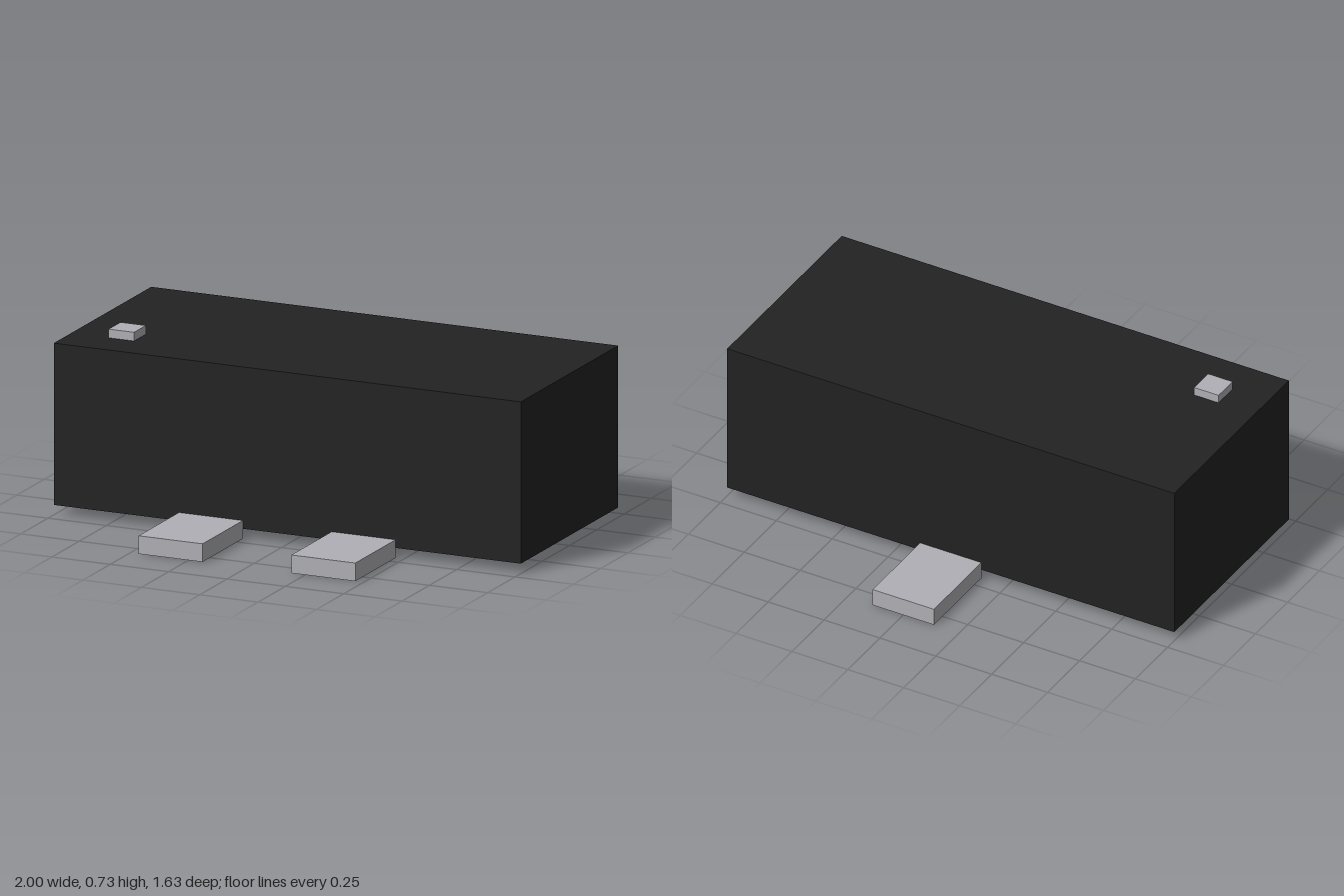
import * as THREE from 'three';

export function createModel() {
  const model = new THREE.Group();
  const blackPlastic = new THREE.MeshStandardMaterial({ color: 0x222222 });
  blackPlastic.name = 'blackPlastic';
  const greyMetal = new THREE.MeshStandardMaterial({ color: 0xafafb5 });
  greyMetal.name = 'greyMetal';

  // Adds a box whose bottom centre sits at (x, y, z)
  function addBox(name, material, [w, h, d], [x, y, z]) {
    const mesh = new THREE.Mesh(new THREE.BoxGeometry(w, h, d), material);
    mesh.name = name;
    mesh.position.set(x, y + h / 2, z);
    model.add(mesh);
  }

  // Package body, raised slightly off the ground
  addBox('body', blackPlastic, [2, 0.652, 0.894], [0, 0.04, 0]);

  // Flat leads butting against the body: two in front, one behind
  const lead = [0.274, 0.073, 0.37];
  const leadZ = 0.447 + lead[2] / 2;
  addBox('frontLeftLead', greyMetal, lead, [0.327, 0, leadZ]);
  addBox('frontRightLead', greyMetal, lead, [-0.327, 0, leadZ]);
  addBox('backLead', greyMetal, lead, [0, 0, -leadZ]);

  // Orientation marker on top
  addBox('marker', greyMetal, [0.109, 0.035, 0.109], [-0.785, 0.692, 0.233]);

  return model;
}
